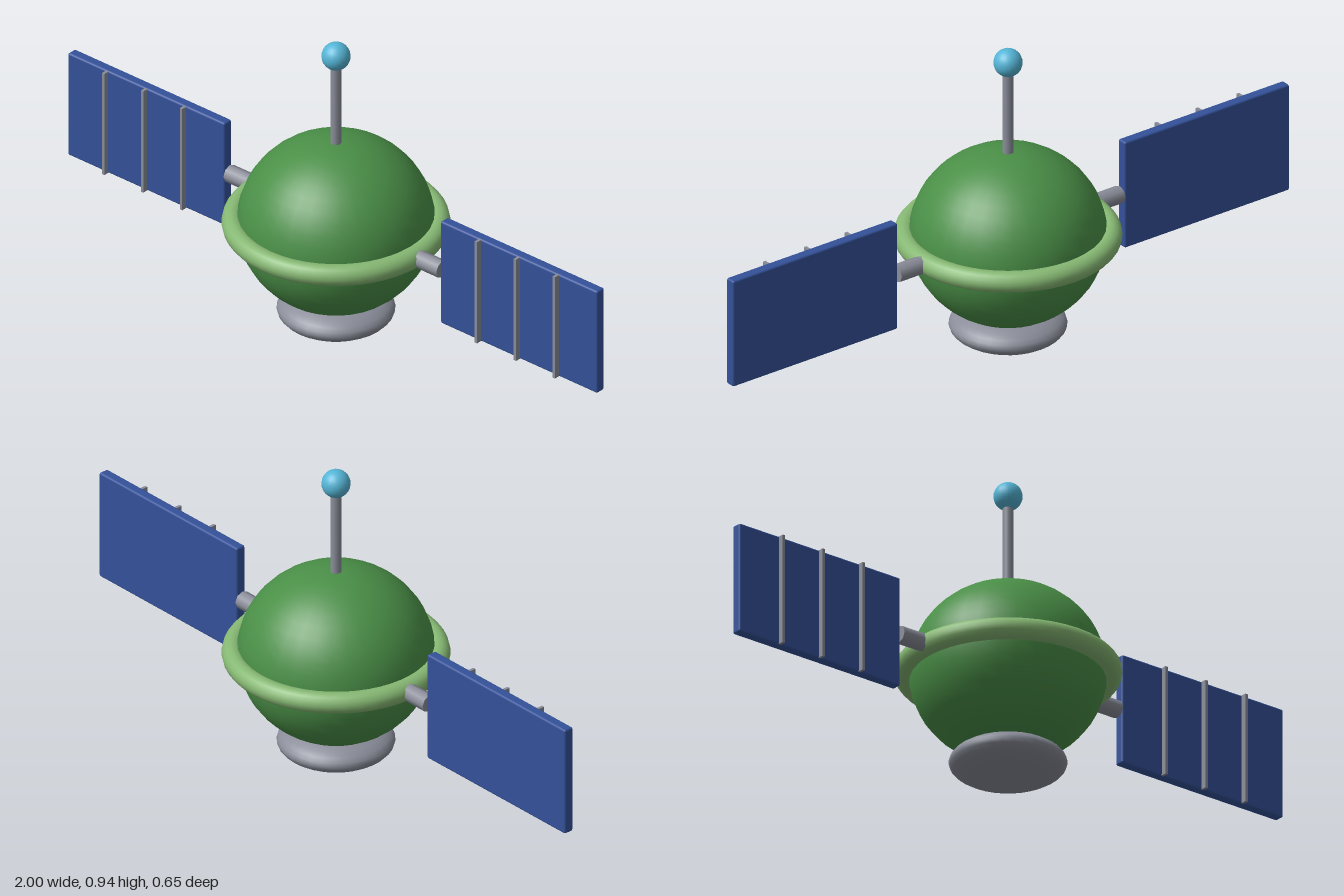
import * as THREE from 'three';
import { RoundedBoxGeometry } from 'three/addons/geometries/RoundedBoxGeometry.js';

const material = (name, color) => {
  const m = new THREE.MeshStandardMaterial({ color });
  m.name = name;
  return m;
};

export function createModel() {
  const green = material('bodyGreen', 0x4a8f47);
  const lightGreen = material('ringGreen', 0x86b873);
  const grey = material('metalGrey', 0x8a8d99);
  const blue = material('panelBlue', 0x34529a);
  const cyan = material('beaconCyan', 0x55b5d6);

  const model = new THREE.Group();
  model.name = 'satellite';
  const add = (parent, name, geometry, mat, x, y, z) => {
    const mesh = new THREE.Mesh(geometry, mat);
    mesh.name = name;
    mesh.position.set(x, y, z);
    parent.add(mesh);
    return mesh;
  };

  const midY = 0.345;

  // Slightly squashed body with a ring round its waist
  add(model, 'body', new THREE.SphereGeometry(1, 32, 24).scale(0.284, 0.265, 0.284), green, 0, midY, 0);
  add(model, 'waistRing', new THREE.TorusGeometry(0.295, 0.032, 14, 48).rotateX(Math.PI / 2), lightGreen, 0, midY, 0);

  // Flattened foot under the body
  add(model, 'foot', new THREE.SphereGeometry(1, 32, 16).scale(0.17, 0.058, 0.17), grey, 0, 0.06, 0);

  // Antenna mast and beacon
  add(model, 'mast', new THREE.CylinderGeometry(0.016, 0.016, 0.3, 12), grey, 0, 0.73, 0);
  add(model, 'beacon', new THREE.SphereGeometry(0.042, 20, 14), cyan, 0, 0.897, 0);

  // Arms and solar panels, one set on each side
  for (const side of [1, -1]) {
    const wing = new THREE.Group();
    wing.name = side > 0 ? 'leftWing' : 'rightWing';
    model.add(wing);

    add(wing, 'arm', new THREE.CylinderGeometry(0.027, 0.027, 0.16, 8).rotateZ(Math.PI / 2), grey, side * 0.322, midY, 0);
    add(wing, 'solarPanel', new RoundedBoxGeometry(0.592, 0.34, 0.032, 2, 0.006), blue, side * 0.704, midY, 0);

    // Raised dividers on the front of the panel
    for (const offset of [-0.147, 0, 0.147]) {
      add(wing, 'divider', new THREE.BoxGeometry(0.009, 0.338, 0.02), grey, side * (0.704 + offset), midY, 0.023);
    }
  }
  return model;
}
